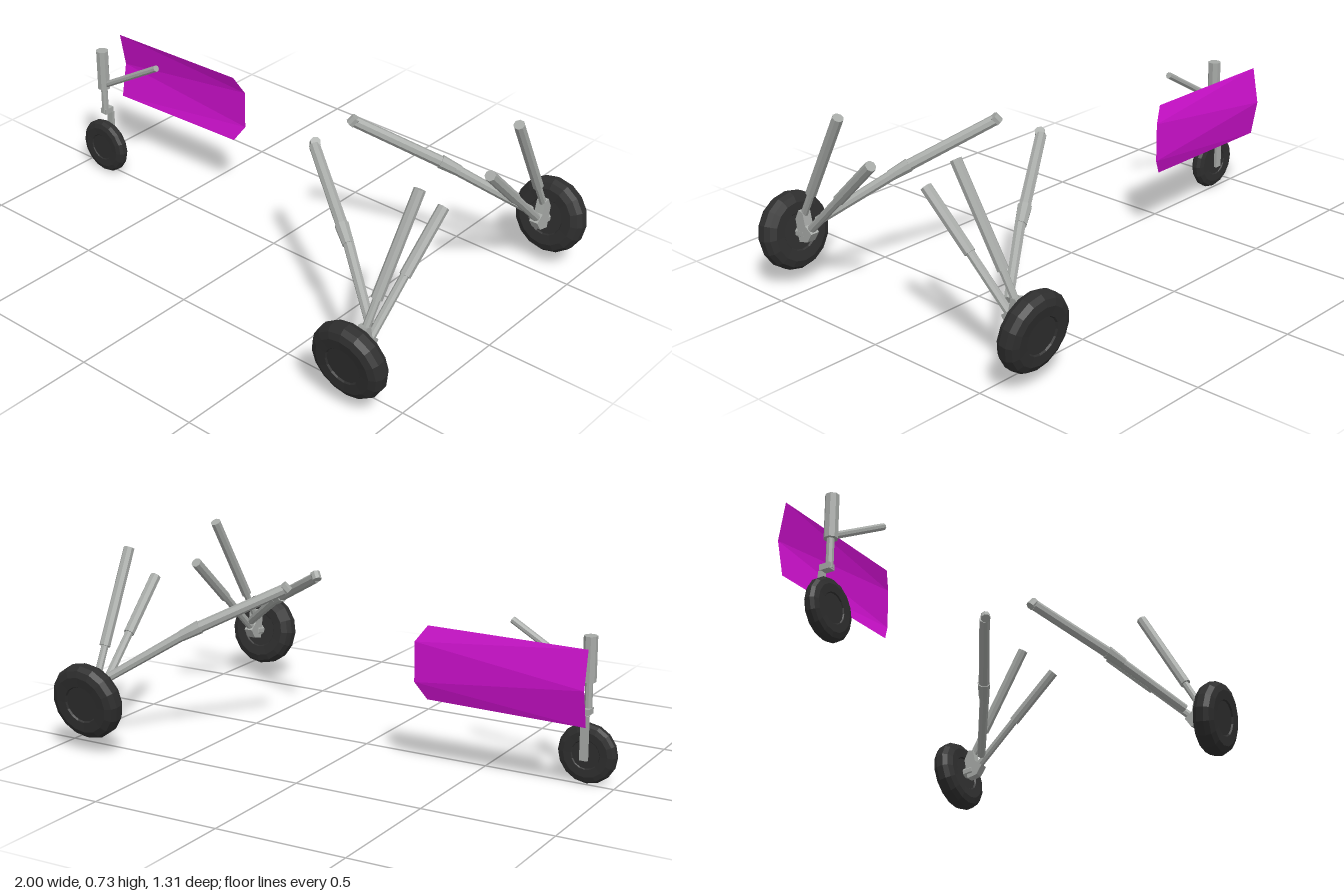
import * as THREE from 'three';

const mat = (name, color, extra = {}) =>
  Object.assign(new THREE.MeshStandardMaterial({ color, flatShading: true, ...extra }), { name });

export function createModel() {
  const model = new THREE.Group();
  model.name = 'landingGear';
  const metal = mat('grey metal', 0xa6a9a6);
  const rubber = mat('black rubber', 0x2e2e2e);
  const paint = mat('magenta panel', 0xcc10cc, { side: THREE.DoubleSide });

  const add = (parent, name, geometry, material) => {
    const mesh = new THREE.Mesh(geometry, material);
    mesh.name = name;
    parent.add(mesh);
    return mesh;
  };

  // Tapered eight-sided rod between two points
  const rod = (parent, name, a, b, rA, rB = rA) => {
    const from = new THREE.Vector3(...a), to = new THREE.Vector3(...b);
    const dir = to.clone().sub(from);
    const geo = new THREE.CylinderGeometry(rB, rA, dir.length(), 8).rotateY(Math.PI / 8);
    const mesh = add(parent, name, geo, metal);
    mesh.position.copy(from).add(to).multiplyScalar(0.5);
    mesh.quaternion.setFromUnitVectors(new THREE.Vector3(0, 1, 0), dir.normalize());
    return mesh;
  };

  // Chamfered tyre with a recessed hub, axle along z
  const wheel = (parent, name, r, w, pos, tilt = 0) => {
    const half = [[0, 0.4], [0.47, 0.4], [0.5, 0.47], [0.76, 0.5], [0.92, 0.38], [1, 0.16]];
    const lower = half.map(([x, y]) => new THREE.Vector2(x * r, -y * w));
    const upper = half.map(([x, y]) => new THREE.Vector2(x * r, y * w)).reverse();
    const geo = new THREE.LatheGeometry([...lower, ...upper], 16).rotateX(Math.PI / 2);
    const mesh = add(parent, name, geo, rubber);
    mesh.position.set(...pos);
    mesh.rotation.x = tilt;
  };

  // Main gear, mirrored across z = 0
  for (const s of [1, -1]) {
    const gear = new THREE.Group();
    gear.name = s > 0 ? 'frontMainGear' : 'backMainGear';
    model.add(gear);
    const p = (x, y, z) => [x, y, z * s];

    wheel(gear, 'mainWheel', 0.146, 0.088, p(0.848, 0.205, 0.597), 0.15 * s);
    rod(gear, 'axle', p(0.848, 0.215, 0.52), p(0.848, 0.205, 0.59), 0.022);

    // Gusset joining the struts to the axle
    const outline = [[0.557, 0.265], [0.537, 0.305], [0.515, 0.3], [0.505, 0.252],
      [0.472, 0.228], [0.497, 0.19], [0.542, 0.18]];
    const shape = new THREE.Shape(outline.map(([z, y]) => new THREE.Vector2(z * s, y)));
    const gusset = new THREE.ExtrudeGeometry(shape, { depth: 0.036, bevelEnabled: false });
    gusset.translate(0, 0, -0.018).rotateY(-Math.PI / 2);
    add(gear, 'gusset', gusset, metal).position.x = 0.85;

    // Shock strut: thin piston in a thicker sleeve
    rod(gear, 'shockPiston', p(0.852, 0.28, 0.53), p(0.857, 0.4, 0.464), 0.014);
    rod(gear, 'shockSleeve', p(0.856, 0.385, 0.474), p(0.872, 0.722, 0.285), 0.021);

    // Side brace
    rod(gear, 'sideBraceLower', p(0.85, 0.235, 0.495), p(0.857, 0.41, 0.315), 0.016);
    rod(gear, 'sideBraceUpper', p(0.857, 0.4, 0.325), p(0.866, 0.583, 0.135), 0.021);

    // Folding drag strut with a hinge in the middle
    rod(gear, 'dragStrutLower', p(0.835, 0.27, 0.475), p(0.6, 0.43, 0.31), 0.017, 0.02);
    rod(gear, 'dragStrutHinge', p(0.615, 0.42, 0.323), p(0.555, 0.455, 0.285), 0.021, 0.026);
    rod(gear, 'dragStrutUpper', p(0.56, 0.452, 0.288), p(0.29, 0.594, 0.115), 0.022, 0.021);
    rod(gear, 'dragStrutPin', p(0.278, 0.588, 0.102), p(0.295, 0.612, 0.115), 0.019);
  }

  // Single wheel with one-sided fork, sleeve and brace
  const tail = new THREE.Group();
  tail.name = 'smallGear';
  model.add(tail);
  wheel(tail, 'smallWheel', 0.111, 0.052, [-0.89, 0.116, 0.02]);
  const box = (name, w, h, d, x, y, z) =>
    add(tail, name, new THREE.BoxGeometry(w, h, d), metal).position.set(x, y, z);
  box('forkLeg', 0.03, 0.165, 0.012, -0.888, 0.18, -0.013);
  box('forkShoulder', 0.03, 0.022, 0.042, -0.888, 0.275, 0.006);
  rod(tail, 'piston', [-0.887, 0.27, 0.016], [-0.887, 0.39, 0.016], 0.014);
  rod(tail, 'sleeve', [-0.887, 0.38, 0.017], [-0.887, 0.546, 0.017], 0.025);
  rod(tail, 'brace', [-0.88, 0.395, 0.015], [-0.588, 0.565, 0.015], 0.013);

  // Folded door panel
  const A = [-0.943, 0.54, -0.137], B = [-0.943, 0.4, -0.163], C = [-0.943, 0.262, -0.137];
  const D = [-0.335, 0.547, -0.147], E = [-0.293, 0.487, -0.168];
  const F = [-0.293, 0.337, -0.168], G = [-0.335, 0.273, -0.147];
  const faces = [A, E, D, A, B, E, B, F, E, B, C, F, C, G, F];
  const door = new THREE.BufferGeometry();
  door.setAttribute('position', new THREE.Float32BufferAttribute(faces.flat(), 3));
  door.computeVertexNormals();
  add(model, 'doorPanel', door, paint);

  return model;
}
